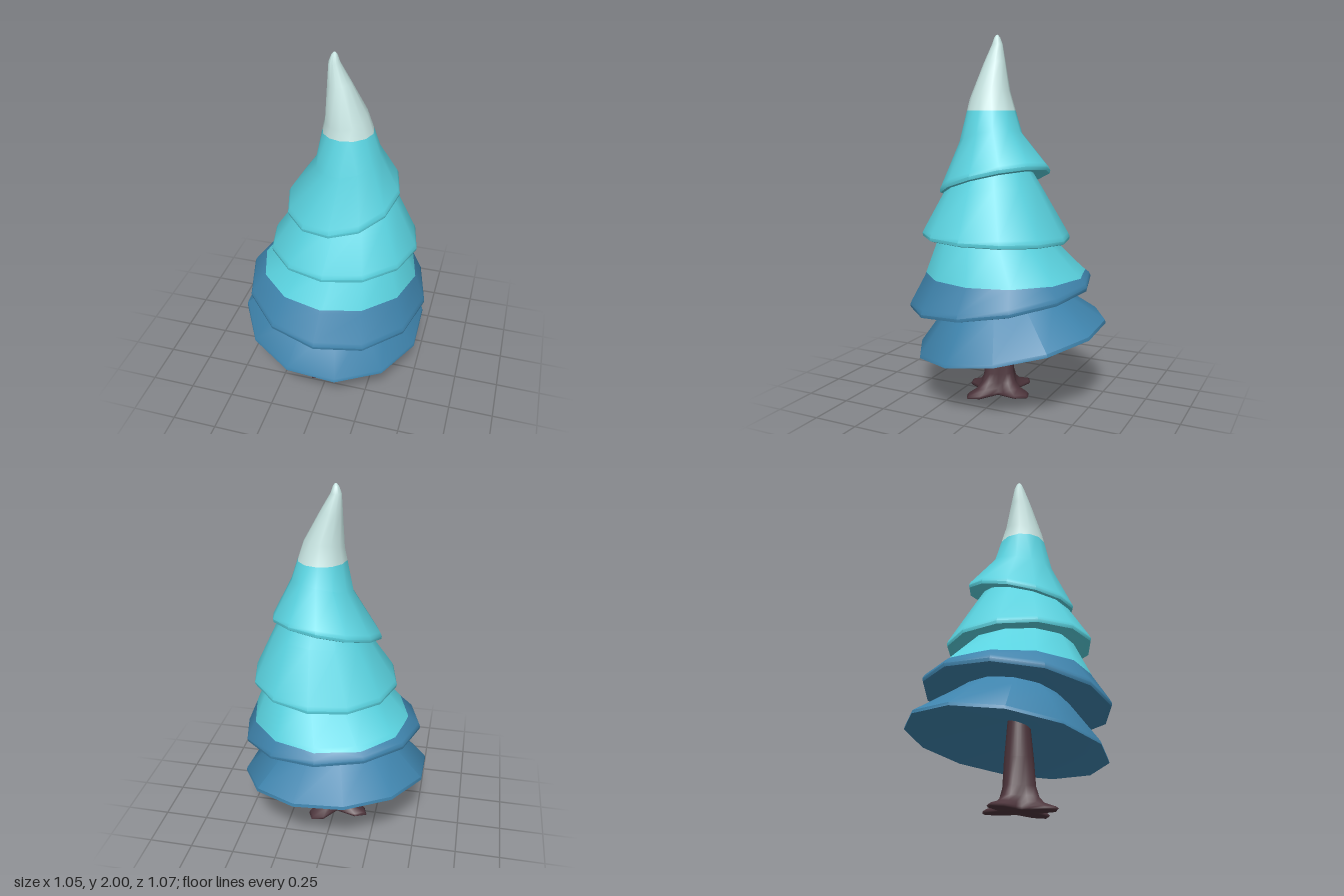
import * as THREE from 'three';
import { toCreasedNormals } from 'three/addons/utils/BufferGeometryUtils.js';

const mat = (name, color) => new THREE.MeshStandardMaterial({ name, color });

// Skin a stack of closed rings, listed from the underside up to the top
function loft(rings, crease = 0.7) {
  const n = rings[0].length, pos = [], index = [];
  rings.forEach((ring) => ring.forEach((p) => pos.push(...p)));
  for (let k = 0; k < rings.length - 1; k++) {
    for (let i = 0; i < n; i++) {
      const a = k * n + i, b = k * n + (i + 1) % n;
      index.push(a, a + n, b, b, a + n, b + n);
    }
  }
  const g = new THREE.BufferGeometry();
  g.setAttribute('position', new THREE.Float32BufferAttribute(pos, 3));
  g.setIndex(index);
  return toCreasedNormals(g, crease);
}

// Ring on a plane tilted by slopes a (along x) and b (along z)
function tiltedRing([x, y, z, r, a = 0, b = 0], phase = 0, n = 12) {
  return Array.from({ length: n }, (_, i) => {
    const t = (i / n) * Math.PI * 2 + phase;
    const dx = r * Math.cos(t), dz = r * Math.sin(t);
    return [x + dx, y + a * dx + b * dz, z + dz];
  });
}

// Keep the part of a geometry above (side 1) or below (side -1) a height
function cut(geo, height, side) {
  const P = geo.attributes.position, N = geo.attributes.normal, pos = [], nor = [];
  for (let f = 0; f < P.count; f += 3) {
    const poly = [];
    const v = [0, 1, 2].map((j) => ({
      p: new THREE.Vector3().fromBufferAttribute(P, f + j),
      n: new THREE.Vector3().fromBufferAttribute(N, f + j),
    }));
    for (let j = 0; j < 3; j++) {
      const a = v[j], b = v[(j + 1) % 3];
      const da = (a.p.y - height) * side, db = (b.p.y - height) * side;
      if (da >= 0) poly.push(a);
      if (da * db < 0) {
        const t = da / (da - db);
        poly.push({ p: a.p.clone().lerp(b.p, t), n: a.n.clone().lerp(b.n, t).normalize() });
      }
    }
    for (let j = 1; j < poly.length - 1; j++) {
      for (const q of [poly[0], poly[j], poly[j + 1]]) {
        pos.push(q.p.x, q.p.y, q.p.z);
        nor.push(q.n.x, q.n.y, q.n.z);
      }
    }
  }
  const g = new THREE.BufferGeometry();
  g.setAttribute('position', new THREE.Float32BufferAttribute(pos, 3));
  g.setAttribute('normal', new THREE.Float32BufferAttribute(nor, 3));
  return g;
}

// Slightly hollow underside and rolled lip of a skirt
function lip([x, y, z, r, a, b]) {
  return [
    [x, y + 0.05, z, 0.001, a, b],
    [x, y - 0.01, z, r - 0.04, a, b],
    [x, y - 0.018, z, r - 0.018, a, b],
    [x, y - 0.013, z, r - 0.003, a, b],
    [x, y + 0.004, z, r, a, b],
    [x, y + 0.025, z, r - 0.01, a, b],
  ];
}

export function createModel() {
  const group = new THREE.Group();
  const bark = mat('bark', 0x4c343b);
  const blue = mat('deepBlue', 0x3f84ad);
  const teal = mat('teal', 0x5ad3e0);
  const snow = mat('snow', 0xc5e2df);
  const add = (name, geo, material) => {
    const m = new THREE.Mesh(geo, material);
    m.name = name;
    group.add(m);
  };

  // Tapering trunk flaring into four pointed roots: [height, valley radius, root radius]
  const cx = 0.015, cz = 0.036, turn = 0.4;
  const trunk = [
    [0.012, 0.001, 0.001], [0, 0.095, 0.228], [0.008, 0.096, 0.238], [0.018, 0.095, 0.222],
    [0.04, 0.091, 0.155], [0.075, 0.087, 0.118], [0.13, 0.083, 0.096],
    [0.28, 0.077, 0.08], [0.52, 0.056, 0.056],
  ].map(([h, valley, root]) => Array.from({ length: 24 }, (_, i) => {
    const t = (i / 24) * Math.PI * 2 + turn;
    const r = valley + (root - valley) * Math.pow(Math.abs(Math.cos(2 * (t - turn))), 2.2);
    const dx = r * Math.cos(t), dz = r * Math.sin(t);
    const lean = Math.max(0, 1 - h / 0.2);
    return [cx + dx, h + (0.013 + 0.04 * dx - 0.06 * dz) * lean, cz + dz];
  }));
  add('trunk', loft(trunk, Math.PI), bark);

  // Lowest skirt with a hollow underside
  const s = [-0.078, -0.153];
  add('lowestSkirt', loft([
    [0, 0.485, 0, 0.001, ...s],
    [-0.012, 0.35, -0.027, 0.53, ...s],
    [-0.012, 0.368, -0.027, 0.526, ...s],
    [-0.006, 0.55, 0.004, 0.335, -0.08, -0.12],
    [0.01, 0.66, 0.01, 0.22, -0.08, -0.12],
  ].map((r) => tiltedRing(r, Math.PI / 12))), blue);

  // Second skirt, two colours
  const second = loft([
    ...lip([0.02, 0.602, 0.022, 0.507, -0.077, -0.123]),
    [0.03, 0.72, 0, 0.435, -0.02, -0.04],
    [0.08, 0.92, 0.03, 0.305],
    [0.08, 1.02, 0.03, 0.24],
  ].map((r) => tiltedRing(r)));
  add('secondSkirtLower', cut(second, 0.717, -1), blue);
  add('secondSkirtUpper', cut(second, 0.717, 1), teal);

  // Third skirt
  add('thirdSkirt', loft([
    ...lip([0.06, 0.922, 0.03, 0.405, 0.04, 0.015]),
    [0.085, 1.18, 0.037, 0.263, 0.05, -0.08],
    [0.085, 1.31, 0.04, 0.18, 0.1, -0.2],
  ].map((r) => tiltedRing(r, 0.04))), teal);

  // Top skirt with a bent tip, snow capped
  const top = loft([
    ...lip([0.053, 1.222, 0.04, 0.302, 0.14, -0.275]),
    [0.08, 1.455, 0.052, 0.169, 0.15, -0.24],
    [0.071, 1.68, 0.06, 0.109, 0.1, -0.25],
    [0.031, 1.85, 0.053, 0.06, 0.05, -0.1],
    [0.006, 1.95, 0.049, 0.029],
    [0.007, 1.985, 0.049, 0.016],
    [0.008, 1.998, 0.049, 0.006],
    [0.008, 2.0, 0.049, 0.001],
  ].map((r) => tiltedRing(r)));
  add('topSkirt', cut(top, 1.6, -1), teal);
  add('snowCap', cut(top, 1.6, 1), snow);

  return group;
}
